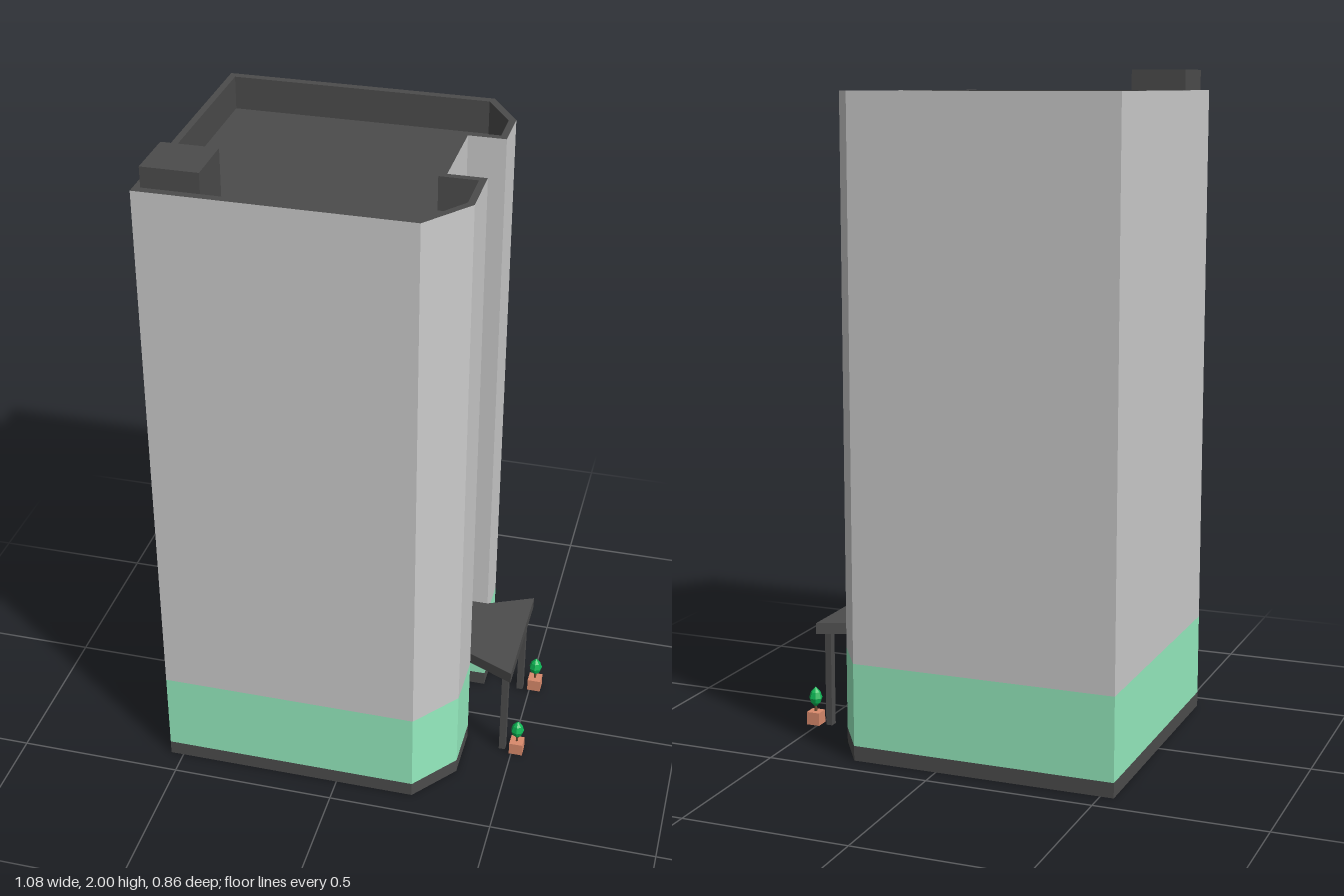
import * as THREE from 'three';

const mat = (color, extra = {}) => new THREE.MeshStandardMaterial({ color, ...extra });
const grey = mat(0xcccccc);
const dark = mat(0x4c4c4c);
const glass = mat(0x95ecbf);
const doorMat = mat(0x8f8570);
const clay = mat(0xd98a6c);
const leaf = mat(0x0cb655, { flatShading: true });
const bark = mat(0x6b4a30);

// Plans as [x, z], counter-clockwise seen from above
const OUTER = [
  [-0.54, 0.425], [0.24, 0.425], [0.35, 0.285], [0.35, 0.115], [0.24, 0.115],
  [0.24, -0.15], [0.35, -0.15], [0.35, -0.29], [0.26, -0.43], [-0.54, -0.43],
];
const INNER = [
  [-0.52, 0.4], [0.235, 0.4], [0.33, 0.275], [0.33, 0.135], [0.22, 0.135],
  [0.22, -0.172], [0.33, -0.172], [0.33, -0.282], [0.25, -0.405], [-0.52, -0.405],
];
const CANOPY = [
  [0.24, 0.115], [0.35, 0.115], [0.49, 0.18], [0.49, -0.215], [0.35, -0.15], [0.24, -0.15],
];

const plan = (pts) => pts.map(([x, z]) => new THREE.Vector2(x, -z));

function add(parent, name, geometry, material, x = 0, y = 0, z = 0) {
  const mesh = new THREE.Mesh(geometry, material);
  mesh.name = name;
  mesh.position.set(x, y, z);
  parent.add(mesh);
  return mesh;
}

// Solid slab over a plan
function slab(pts, height) {
  return new THREE.ExtrudeGeometry(new THREE.Shape(plan(pts)), { depth: height, bevelEnabled: false })
    .rotateX(-Math.PI / 2);
}

// Flat horizontal face over a plan, optionally with an opening
function flat(pts, hole) {
  const shape = new THREE.Shape(plan(pts));
  if (hole) shape.holes.push(new THREE.Path(plan(hole)));
  return new THREE.ShapeGeometry(shape).rotateX(-Math.PI / 2);
}

// Vertical skin around a plan; reversing the plan makes it face inward
function skin(pts, y0, y1) {
  const v = [];
  pts.forEach(([ax, az], i) => {
    const [bx, bz] = pts[(i + 1) % pts.length];
    v.push(ax, y0, az, bx, y0, bz, bx, y1, bz, ax, y0, az, bx, y1, bz, ax, y1, az);
  });
  const g = new THREE.BufferGeometry();
  g.setAttribute('position', new THREE.Float32BufferAttribute(v, 3));
  g.computeVertexNormals();
  return g;
}

function pottedTree() {
  const tree = new THREE.Group();
  tree.name = 'pottedTree';
  add(tree, 'pot', new THREE.BoxGeometry(0.042, 0.04, 0.042), clay, 0, 0.02, 0);
  add(tree, 'trunk', new THREE.CylinderGeometry(0.004, 0.004, 0.03, 6), bark, 0, 0.052, 0);
  const profile = [[0, 0.052], [0.016, 0.068], [0.021, 0.083], [0.015, 0.102], [0, 0.118]];
  add(tree, 'foliage', new THREE.LatheGeometry(profile.map((p) => new THREE.Vector2(...p)), 7), leaf);
  return tree;
}

export function createModel() {
  const model = new THREE.Group();
  model.name = 'towerBlock';

  // Tower body
  add(model, 'plinth', slab(OUTER, 0.045), dark);
  add(model, 'lobbyGlazing', skin(OUTER, 0.045, 0.295), glass);
  add(model, 'facade', skin(OUTER, 0.295, 1.94), grey);

  // Sunken roof behind a parapet
  add(model, 'roof', flat(INNER), dark, 0, 1.84, 0);
  add(model, 'parapetLining', skin([...INNER].reverse(), 1.84, 1.94), dark);
  add(model, 'parapetCap', flat(OUTER, INNER), dark, 0, 1.94, 0);

  // Stair hut in the roof corner
  add(model, 'roofHut', new THREE.BoxGeometry(0.165, 0.16, 0.165), dark, -0.4375, 1.92, 0.3175);
  add(model, 'roofHutDoor', new THREE.BoxGeometry(0.07, 0.07, 0.004), doorMat, -0.4375, 1.876, 0.234);

  // Entrance in the recess
  add(model, 'entranceDoor', new THREE.BoxGeometry(0.006, 0.135, 0.16), doorMat, 0.24, 0.0675, -0.015);
  add(model, 'canopy', slab(CANOPY, 0.035), dark, 0, 0.299, 0);
  for (const z of [0.136, -0.167]) {
    add(model, 'canopyPost', new THREE.BoxGeometry(0.02, 0.3, 0.025), dark, 0.468, 0.15, z);
  }
  for (const z of [0.143, -0.178]) {
    const tree = pottedTree();
    tree.position.set(0.514, 0, z);
    model.add(tree);
  }
  return model;
}
